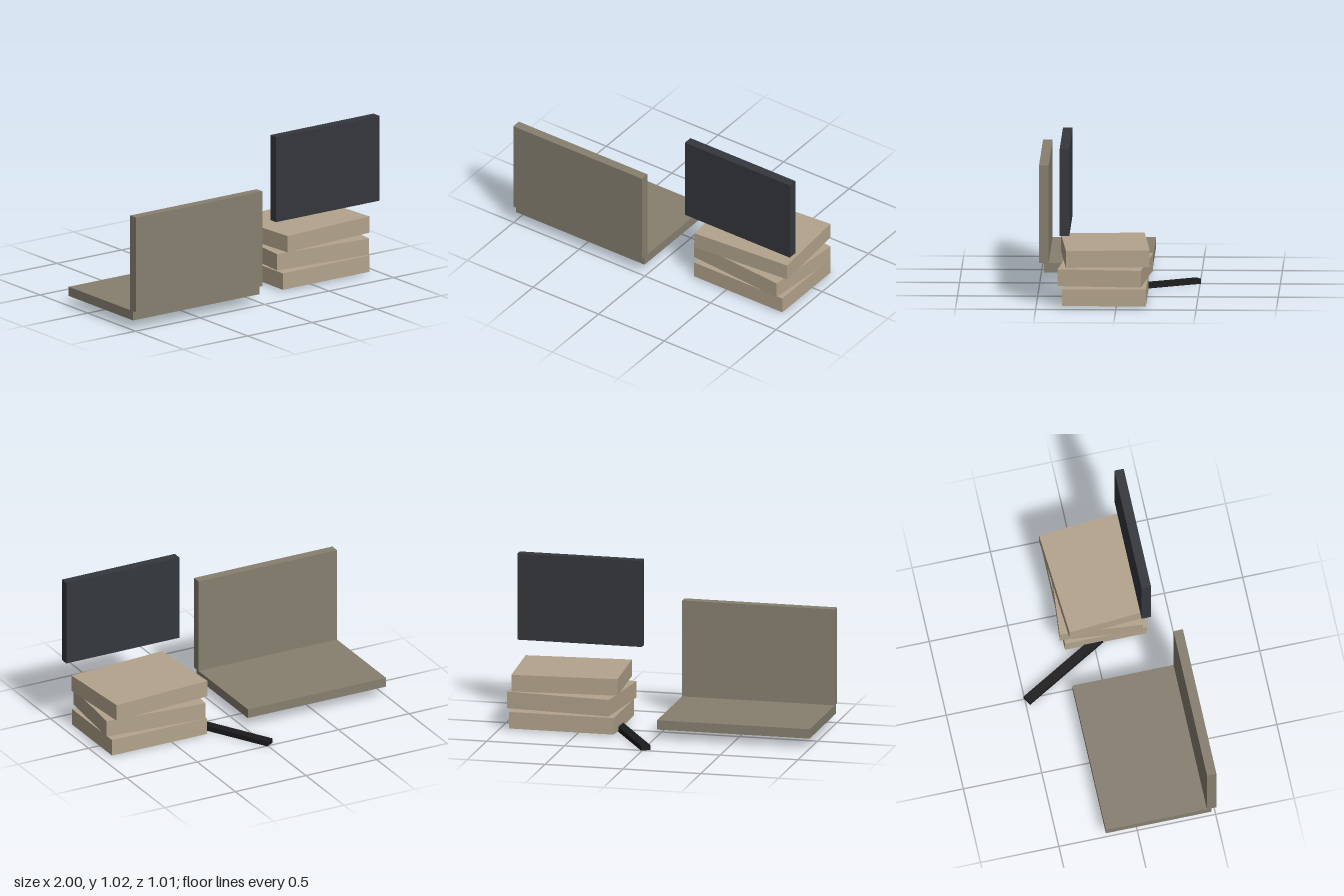
import * as THREE from 'three';

const mat = (color) => new THREE.MeshStandardMaterial({ color });

export function createModel() {
  const group = new THREE.Group();
  const fabric = mat(0x878070);
  const wood = mat(0xb3a48c);
  const screenGrey = mat(0x34373c);
  const black = mat(0x1b1b1d);

  // Box from its size, centre and turn about the vertical axis
  const box = (name, size, centre, material, turn = 0) => {
    const mesh = new THREE.Mesh(new THREE.BoxGeometry(...size), material);
    mesh.name = name;
    mesh.position.set(...centre);
    mesh.rotation.y = turn;
    group.add(mesh);
  };

  // Seat slab with upright back panel
  box('seat', [0.98, 0.06, 0.675], [-0.51, 0.095, 0.1375], fabric);
  box('backPanel', [0.98, 0.615, 0.06], [-0.51, 0.4325, 0.475], fabric);

  // Three loosely stacked blocks, each turned a little
  [[0.065, 0], [0.187, -0.088], [0.31, 0.073]].forEach(([y, turn], i) =>
    box(`stackedBlock${i + 1}`, [0.672, 0.106, 0.523], [0.598, y, 0.076], wood, turn));

  // Upright screen above the stack
  box('screen', [0.8, 0.552, 0.06], [0.6, 0.741, 0.32], screenGrey);

  // Flat bar lying on the ground at an angle
  box('groundBar', [0.06, 0.032, 0.74], [0.166, 0.017, -0.17], black, Math.PI / 6);

  return group;
}
